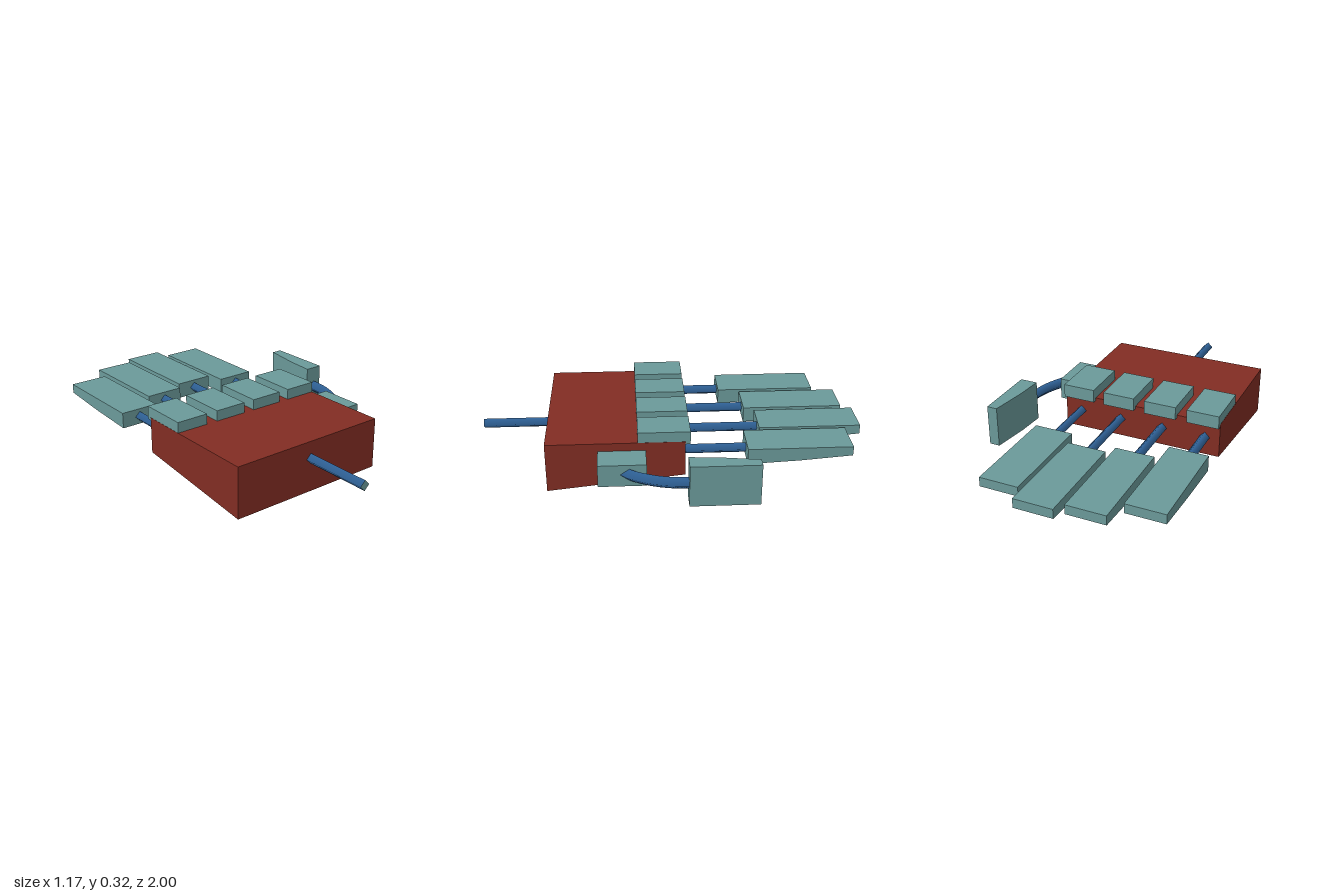
import * as THREE from 'three';

const paint = (name, color) => Object.assign(new THREE.MeshStandardMaterial({ color }), { name });

export function createModel() {
  const red = paint('palm red', 0x822d23);
  const teal = paint('plate teal', 0x6b9a9a);
  const blue = paint('rod blue', 0x31659c);
  const hand = new THREE.Group();
  hand.name = 'mechanicalHand';

  const add = (name, geometry, material) => {
    const mesh = new THREE.Mesh(geometry, material);
    mesh.name = name;
    hand.add(mesh);
    return mesh;
  };
  const box = (name, x0, x1, y0, y1, z0, z1) =>
    add(name, new THREE.BoxGeometry(x1 - x0, y1 - y0, z1 - z0)
      .translate((x0 + x1) / 2, (y0 + y1) / 2, (z0 + z1) / 2), teal);
  const extrude = (points, depth) => new THREE.ExtrudeGeometry(
    new THREE.Shape(points.map(([a, b]) => new THREE.Vector2(a, b))),
    { depth, bevelEnabled: false });
  // side profile given as (z, y), spanning x0 to x1
  const sideProfile = (points, x0, x1) =>
    extrude(points, x1 - x0).rotateY(-Math.PI / 2).translate(x1, 0, 0);
  // square rod standing on its edge, with teal ends
  const rod = (name, x, z0, z1) =>
    add(name, new THREE.CylinderGeometry(0.027, 0.027, z1 - z0, 4)
      .rotateX(Math.PI / 2).translate(x, 0.175, (z0 + z1) / 2), [blue, teal, teal]);

  // wedge-shaped palm and wrist
  add('palm', sideProfile([[0.645, 0], [0.645, 0.265], [-0.06, 0.265], [-0.06, 0.075]], -0.565, 0.303), red);
  rod('wristRod', -0.126, 0.6, 1);

  // four fingers: knuckle x, finger x, root z
  const fingers = [[-0.478, -0.486, -0.294], [-0.245, -0.251, -0.41], [-0.013, -0.016, -0.463], [0.216, 0.213, -0.375]];
  fingers.forEach(([knuckleX, x, root], i) => {
    const n = i + 1;
    box('knuckle' + n, knuckleX - 0.086, knuckleX + 0.086, 0.25, 0.32, -0.085, 0.18);
    rod('fingerRod' + n, x + 0.001, root - 0.05, 0);
    add('finger' + n, sideProfile([
      [root, 0.133], [root, 0.217], [root - 0.537, 0.217], [root - 0.537, 0.167], [root - 0.27, 0.146],
    ], x - 0.103, x + 0.103), teal);
  });

  // thumb: base block, bent rod and tapered tip
  box('thumbBase', 0.295, 0.447, 0.104, 0.222, 0.14, 0.382);
  const bend = new THREE.CatmullRomCurve3([
    [0.39, 0.28], [0.455, 0.215], [0.505, 0.12], [0.53, 0.03], [0.537, -0.06], [0.537, -0.1],
  ].map(([x, z]) => new THREE.Vector3(x, 0.169, z)));
  add('thumbRod', new THREE.TubeGeometry(bend, 20, 0.032, 4), blue);
  add('thumbTip', extrude([
    [0.487, 0.06], [0.582, 0.06], [0.582, 0.408], [0.527, 0.408], [0.498, 0.21],
  ], 0.22).rotateX(-Math.PI / 2).translate(0, 0.062, 0), teal);

  return hand;
}
